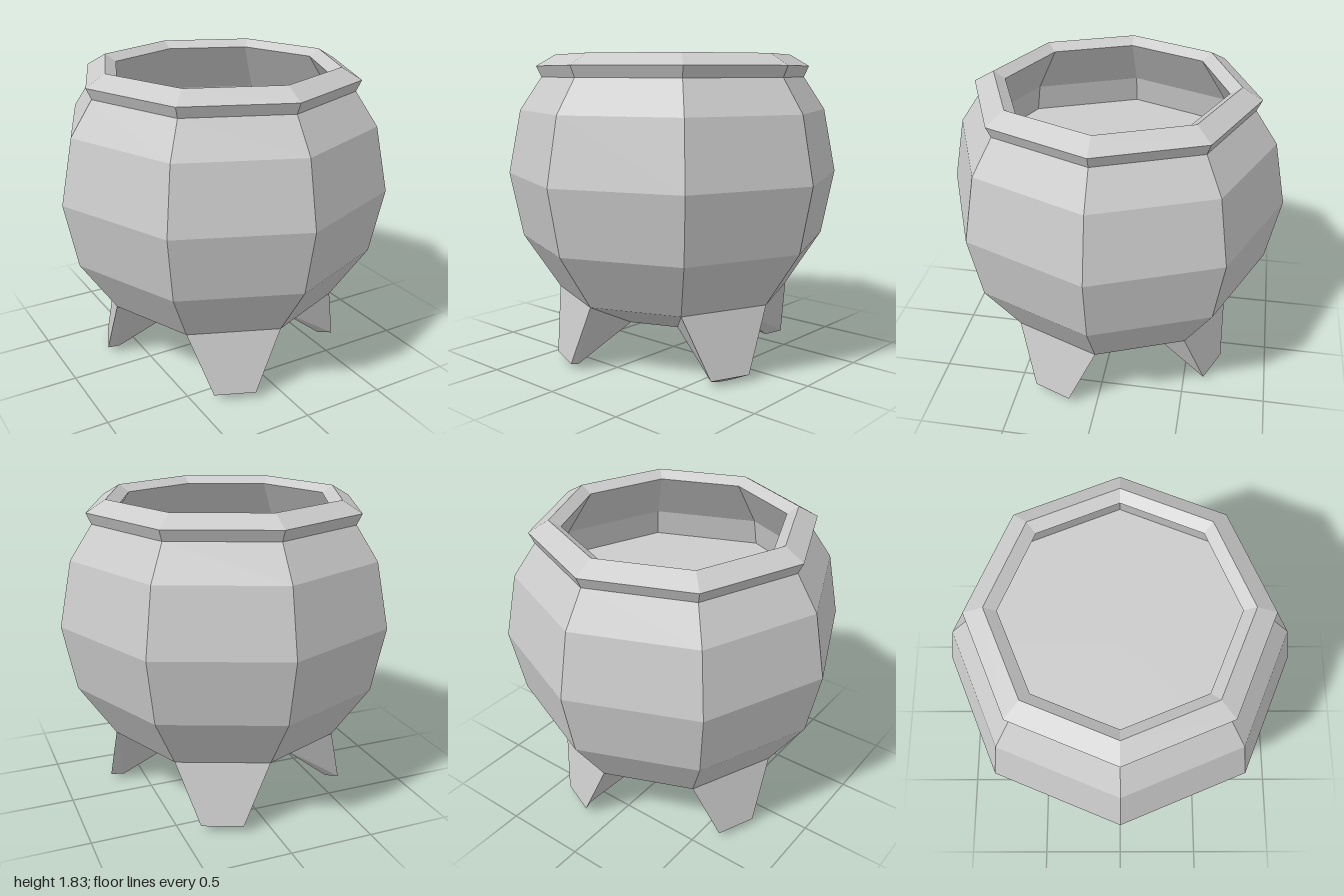
import * as THREE from 'three';

const material = new THREE.MeshStandardMaterial({ color: 0xcccccc, flatShading: true });
const SIDES = 8;

function addMesh(parent, name, geometry) {
  const mesh = new THREE.Mesh(geometry, material);
  mesh.name = name;
  parent.add(mesh);
  return mesh;
}

// Octagonal revolve of [radius, height] pairs
function revolve(profile) {
  return new THREE.LatheGeometry(profile.map(([r, y]) => new THREE.Vector2(r, y)), SIDES);
}

// Flat-shaded faces, each given as four corners counter-clockwise from outside
function quads(faces) {
  const positions = faces.flatMap(([a, b, c, d]) => [a, b, c, a, c, d].flat());
  const geometry = new THREE.BufferGeometry();
  geometry.setAttribute('position', new THREE.Float32BufferAttribute(positions, 3));
  geometry.computeVertexNormals();
  return geometry;
}

// Left and right corners of an edge facing +z
const pair = (halfWidth, y, z) => [[-halfWidth, y, z], [halfWidth, y, z]];

export function createModel() {
  const model = new THREE.Group();
  model.name = 'cauldron';

  // Round belly
  addMesh(model, 'body', revolve([
    [0.707, 0.41], [0.924, 0.735], [1, 1.12], [0.924, 1.5], [0.793, 1.695],
  ]));

  // Flared rim with a bevelled inner lip
  addMesh(model, 'rim', revolve([
    [0.793, 1.695], [0.823, 1.76], [0.707, 1.827], [0.64, 1.785],
  ]));

  // Inner wall down to the contents
  addMesh(model, 'innerWall', revolve([[0.64, 1.785], [0.85, 1.48], [0.885, 1.31]]));

  // Flat surface of the contents
  addMesh(model, 'contents', revolve([[0.885, 1.31], [0, 1.31]]));

  // Flat base
  addMesh(model, 'base', revolve([[0, 0.25], [0.383, 0.25]]));

  // Corners shared by the underside panels and the legs
  const [outerL, outerR] = pair(0.2706, 0.41, 0.653);
  const [innerL, innerR] = pair(0.1464, 0.25, 0.354);
  const [toeL, toeR] = pair(0.122, 0.04, 0.7245);
  const [heelL, heelR] = pair(0.041, 0, 0.655);

  const panelGeometry = quads([[outerL, innerL, innerR, outerR]]);
  const legGeometry = quads([
    [outerL, toeL, toeR, outerR],
    [innerR, heelR, heelL, innerL],
    [outerR, toeR, heelR, innerR],
    [innerL, heelL, toeL, outerL],
    [toeL, heelL, heelR, toeR],
  ]);

  // Legs alternate with sloping panels around the underside
  for (let i = 0; i < 4; i++) {
    const angle = -Math.PI / 8 + i * Math.PI / 2;
    addMesh(model, 'leg', legGeometry).rotation.y = angle;
    addMesh(model, 'undersidePanel', panelGeometry).rotation.y = angle + Math.PI / 4;
  }

  return model;
}
